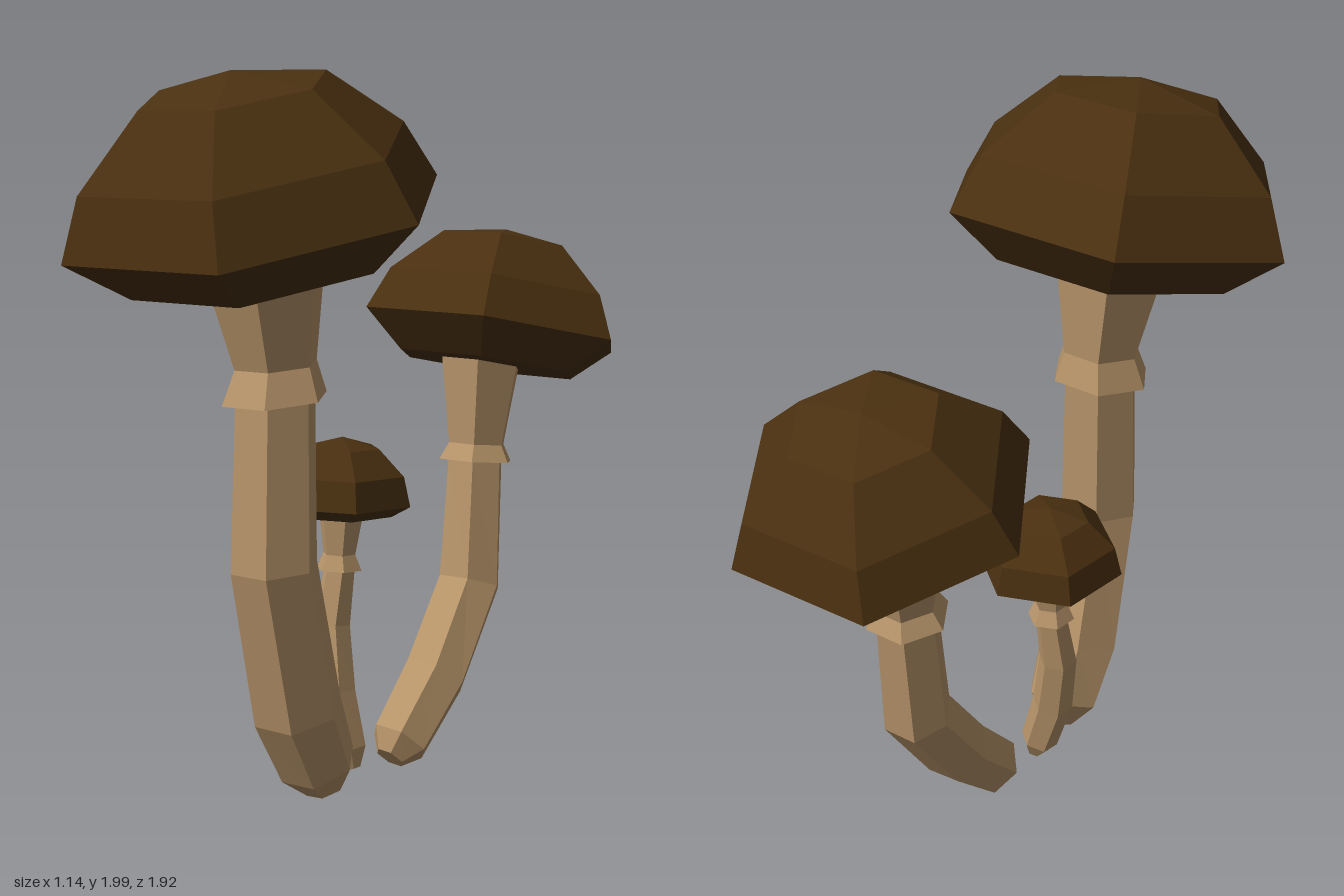
import * as THREE from 'three';

const capBrown = new THREE.MeshStandardMaterial({ color: 0x4a3010, flatShading: true });
capBrown.name = 'cap brown';
const stemTan = new THREE.MeshStandardMaterial({ color: 0xb8956a, flatShading: true });
stemTan.name = 'stem tan';

const SIDES = 6;

// Closed six-sided skin through rings listed from bottom to top.
// Each ring is { c: centre, n: axis, r: radius }.
function loft(rings, phase, material, name, closed = true) {
  const loops = rings.map(({ c, n, r }) => {
    const u = new THREE.Vector3(1, 0, 0);
    u.addScaledVector(n, -u.dot(n)).normalize();
    const v = new THREE.Vector3().crossVectors(u, n);
    return Array.from({ length: SIDES }, (_, j) => {
      const a = phase + (j / SIDES) * Math.PI * 2;
      return c.clone().addScaledVector(u, r * Math.cos(a)).addScaledVector(v, r * Math.sin(a));
    });
  });
  const pts = [];
  const last = loops.length - 1;
  for (let j = 0; j < SIDES; j++) {
    const k = (j + 1) % SIDES;
    for (let i = 0; i < last; i++) {
      const a = loops[i], b = loops[i + 1];
      if (rings[i + 1].r > 0) pts.push(a[j], b[j], b[k]);
      pts.push(a[j], b[k], a[k]);
    }
    if (closed) {
      pts.push(rings[0].c, loops[0][j], loops[0][k]);
      if (rings[last].r > 0) pts.push(rings[last].c, loops[last][k], loops[last][j]);
    }
  }
  const geometry = new THREE.BufferGeometry().setFromPoints(pts);
  geometry.computeVertexNormals();
  const mesh = new THREE.Mesh(geometry, material);
  mesh.name = name;
  return mesh;
}

// Rings along a bent path of [x, y, z, radius], each square to the path.
function pathRings(path) {
  const c = path.map(([x, y, z]) => new THREE.Vector3(x, y, z));
  return path.map((p, i) => ({
    c: c[i],
    r: p[3],
    n: c[Math.min(i + 1, c.length - 1)].clone().sub(c[Math.max(i - 1, 0)]).normalize(),
  }));
}

// Rings of a tilted cap from a profile of [height, radius].
function capRings(centre, axis, profile) {
  const n = new THREE.Vector3(...axis).normalize();
  return profile.map(([h, r]) => ({
    c: new THREE.Vector3(...centre).addScaledVector(n, h), n, r,
  }));
}

// Cap profile for a rim radius of 0.52
const broadCap = [[-0.13, 0.36], [0, 0.52], [0.16, 0.447], [0.335, 0.255], [0.385, 0]];
const scaled = (profile, s) => profile.map(([h, r]) => [h * s, r * s]);

// Each stem path ends with two points: the pinch above the collar, then the flared neck.
const mushrooms = [
  {
    name: 'largeMushroom', phase: -12,
    centre: [0.06, 1.625, 0.48], axis: [0.05, 1, 0.236], profile: broadCap,
    stem: [[0.0, 0.03, 0.21, 0.055], [0.0, 0.105, 0.235, 0.112], [0.02, 0.28, 0.32, 0.128],
      [0.05, 0.70, 0.42, 0.122], [0.042, 1.15, 0.405, 0.112],
      [0.045, 1.24, 0.405, 0.115], [0.045, 1.56, 0.445, 0.18]],
    collar: [0.045, 1.15, 0.41, 0.147],
  },
  {
    name: 'mediumMushroom', phase: -12,
    centre: [-0.165, 1.245, -0.575], axis: [-0.05, 1, -0.24], profile: scaled(broadCap, 0.797),
    stem: [[-0.065, 0.04, -0.085, 0.045], [-0.07, 0.08, -0.125, 0.09], [-0.095, 0.245, -0.285, 0.1],
      [-0.135, 0.495, -0.46, 0.1], [-0.16, 0.86, -0.505, 0.088],
      [-0.16, 0.91, -0.51, 0.09], [-0.17, 1.2, -0.54, 0.135]],
    collar: [-0.16, 0.86, -0.505, 0.118],
  },
  {
    name: 'smallMushroom', phase: 28,
    centre: [-0.172, 0.79, 0.005], axis: [-0.01, 1, -0.03],
    profile: [[-0.032, 0.15], [0, 0.205], [0.085, 0.185], [0.16, 0.11], [0.19, 0]],
    stem: [[-0.075, 0.035, 0.048, 0.025], [-0.09, 0.09, 0.052, 0.055], [-0.135, 0.25, 0.06, 0.06],
      [-0.17, 0.44, 0.045, 0.055], [-0.165, 0.6, 0.02, 0.046],
      [-0.165, 0.645, 0.02, 0.048], [-0.165, 0.775, 0.012, 0.068]],
    collar: [-0.165, 0.6, 0.02, 0.067],
  },
];

export function createModel() {
  const model = new THREE.Group();
  model.name = 'mushroomCluster';
  for (const m of mushrooms) {
    const group = new THREE.Group();
    group.name = m.name;
    const phase = THREE.MathUtils.degToRad(m.phase);
    const stemRings = pathRings(m.stem);
    const [under, pinch] = stemRings.slice(-3, -1);
    // Collar flares down from the pinch, then tucks back under to the stem
    const collar = { c: new THREE.Vector3(...m.collar), n: pinch.n, r: m.collar[3] };
    group.add(
      loft(capRings(m.centre, m.axis, m.profile), phase, capBrown, 'cap'),
      loft(stemRings, phase, stemTan, 'stem'),
      loft([under, collar, pinch], phase, stemTan, 'collar', false),
    );
    model.add(group);
  }
  return model;
}
